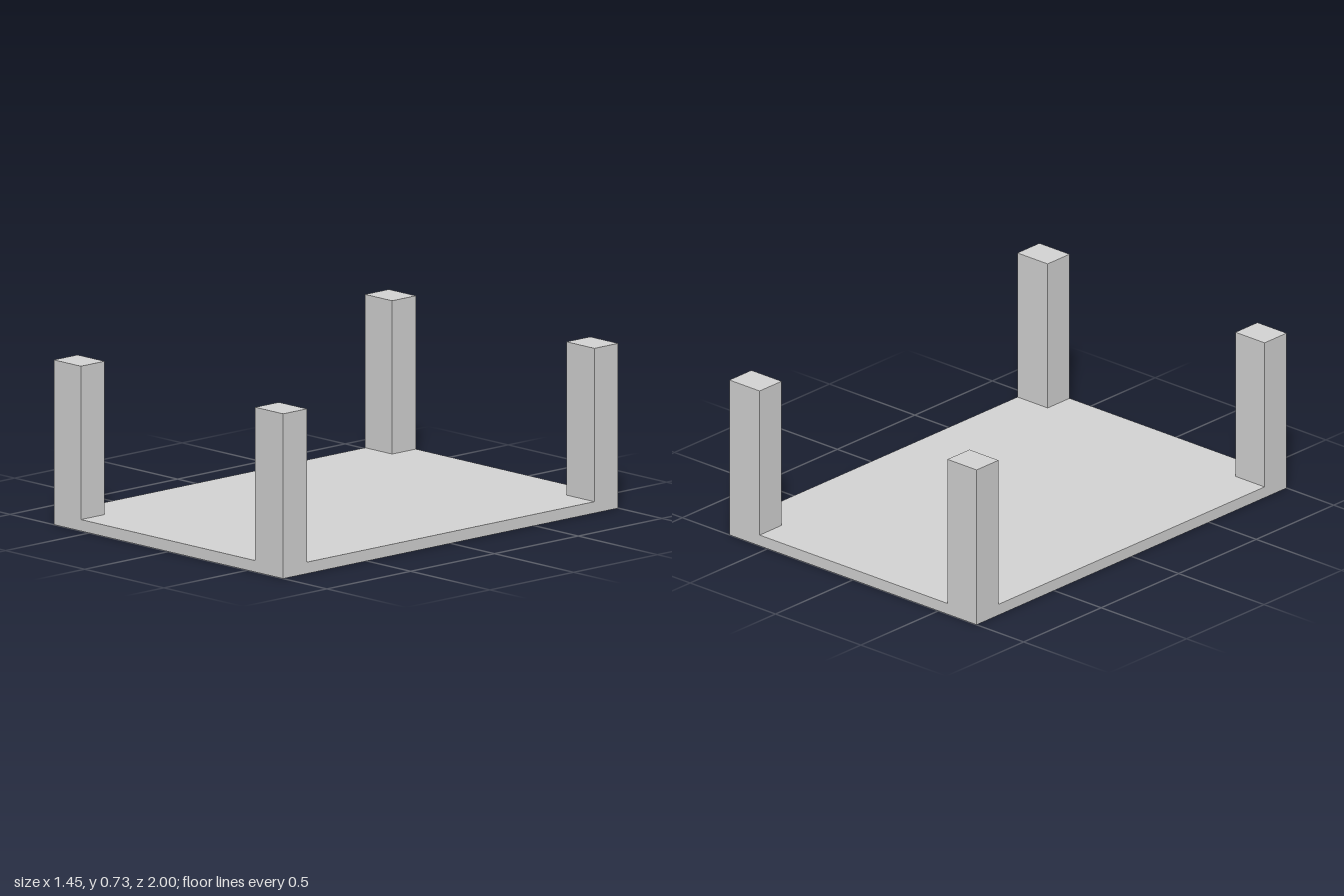
import * as THREE from 'three';

export function createModel() {
  const model = new THREE.Group();
  model.name = 'cornerPostPlatform';
  const grey = new THREE.MeshStandardMaterial({ color: 0xd5d5d5 });
  grey.name = 'light grey';

  // Box given by its lower and upper corners
  const box = (name, [x0, y0, z0], [x1, y1, z1]) => {
    const mesh = new THREE.Mesh(new THREE.BoxGeometry(x1 - x0, y1 - y0, z1 - z0), grey);
    mesh.position.set((x0 + x1) / 2, (y0 + y1) / 2, (z0 + z1) / 2);
    mesh.name = name;
    model.add(mesh);
  };

  const halfWidth = 0.724, slabTop = 0.051, postTop = 0.733;

  // Base slab
  box('baseSlab', [-halfWidth, 0, -1], [halfWidth, slabTop, 1]);

  // Corner posts, the left pair slightly wider than the right
  const sides = [['Right', -halfWidth, -0.553], ['Left', 0.547, halfWidth]];
  const ends = [['back', -1, -0.858], ['front', 0.858, 1]];
  for (const [side, x0, x1] of sides)
    for (const [end, z0, z1] of ends)
      box(`${end}${side}Post`, [x0, slabTop, z0], [x1, postTop, z1]);

  return model;
}
